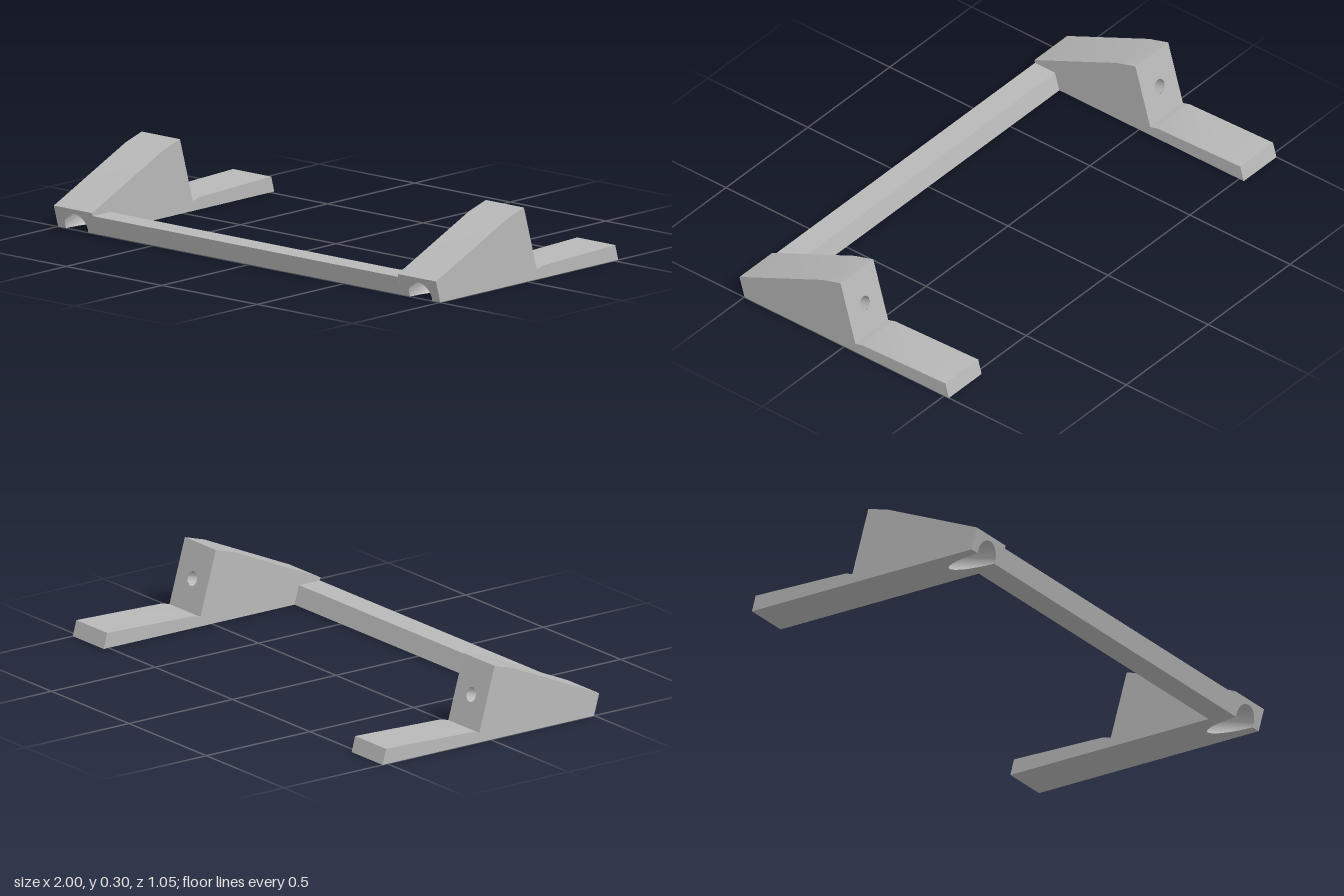
import * as THREE from 'three';
import { toCreasedNormals } from 'three/addons/utils/BufferGeometryUtils.js';

const HALF = 0.1;                 // half width of a foot
const TILT = 0.28;                // lean of the front face and the stop wall
const FRONT = 0.498;              // z of the front bottom edge
const SIN = Math.sin(TILT), COS = Math.cos(TILT);

// Foot outline as [z, y], from the front bottom edge over the top to the rear
const PROFILE = [
  [FRONT, 0], [0.523, 0.087], [0.112, 0.269], [0.018, 0.297],
  [-0.056, 0.039], [-0.092, 0.049], [-0.506, 0.062], [-0.523, 0],
];

// Screw bore, square to the front face and the stop wall
const BORE = { s: 0.012, wide: 0.059, narrow: 0.029, step: 0.4, end: 0.543 };

function borePoint(radius, angle, depth) {
  const s = BORE.s + radius * Math.sin(angle);
  // where the bore breaks through the underside, it starts at y = 0
  const w = Math.max(depth, -s * COS / SIN);
  return [radius * Math.cos(angle), s * COS + w * SIN, FRONT + s * SIN - w * COS];
}

function footGeometry() {
  const positions = [];

  // Flat panel from a 2D outline, placed by a mapping to 3D
  function panel(outline, place, flip = false, hole = null) {
    const shape = new THREE.Shape(outline.map(([u, v]) => new THREE.Vector2(u, v)));
    if (hole) shape.holes.push(new THREE.Path(hole.map(([u, v]) => new THREE.Vector2(u, v))));
    const flat = new THREE.ShapeGeometry(shape);
    const p = flat.attributes.position;
    const index = flat.index.array;
    for (let i = 0; i < index.length; i += 3) {
      const tri = [index[i], index[i + 1], index[i + 2]];
      if (flip) tri.reverse();
      for (const k of tri) positions.push(...place(p.getX(k), p.getY(k)));
    }
  }

  // Panel across the width along one outline edge, with an optional notch or hole
  function strip(p, q, { notch = [], hole = null, flip = false } = {}) {
    const length = Math.hypot(q[0] - p[0], q[1] - p[1]);
    const flatten = ([x, y, z]) => [x, Math.hypot(z - p[0], y - p[1])];
    const place = (x, s) => {
      const t = s / length;
      return [x, p[1] + (q[1] - p[1]) * t, p[0] + (q[0] - p[0]) * t];
    };
    const outline = [[-HALF, 0], ...notch.map(flatten), [HALF, 0], [HALF, length], [-HALF, length]];
    panel(outline, place, flip, hole && hole.map(flatten));
  }

  // Bore angles: the part on the front face, then the part on the underside
  const N = 20;
  const a0 = Math.asin(-BORE.s / BORE.wide);
  const upper = [], lower = [];
  for (let i = 0; i <= N; i++) {
    upper.push(a0 + (Math.PI - 2 * a0) * i / N);
    lower.push(Math.PI - a0 + (Math.PI + 2 * a0) * i / N);
  }
  const angles = [...upper, ...lower.slice(1)];
  const ring = (list, radius, depth) => list.map((a) => borePoint(radius, a, depth));

  // Sides
  panel(PROFILE, (z, y) => [-HALF, y, z]);
  panel(PROFILE, (z, y) => [HALF, y, z], true);

  // Front, top, stop wall, tongue and rear end
  for (let i = 0; i < PROFILE.length - 1; i++) {
    const options = {};
    if (i === 0) options.notch = ring(upper, BORE.wide, 0).reverse();
    if (i === 3) options.hole = ring(angles.slice(0, -1), BORE.narrow, BORE.end);
    strip(PROFILE[i], PROFILE[i + 1], options);
  }

  // Underside
  strip(PROFILE[0], PROFILE[PROFILE.length - 1], { notch: ring(lower, BORE.wide, 0), flip: true });

  // Stepped bore walls
  const rings = [
    ring(angles, BORE.wide, 0), ring(angles, BORE.wide, BORE.step),
    ring(angles, BORE.narrow, BORE.step), ring(angles, BORE.narrow, BORE.end),
  ];
  for (let r = 0; r < 3; r++) {
    for (let i = 0; i < angles.length - 1; i++) {
      const a = rings[r][i], b = rings[r][i + 1], c = rings[r + 1][i + 1], d = rings[r + 1][i];
      positions.push(...a, ...b, ...c, ...a, ...c, ...d);
    }
  }

  const geometry = new THREE.BufferGeometry();
  geometry.setAttribute('position', new THREE.Float32BufferAttribute(positions, 3));
  return toCreasedNormals(geometry, 0.4);
}

export function createModel() {
  const group = new THREE.Group();
  group.name = 'bracketStand';
  const grey = new THREE.MeshStandardMaterial({ color: 0xb8b8b8 });
  grey.name = 'plain grey';

  // Two wedge feet
  const foot = footGeometry();
  for (const [name, x] of [['leftFoot', 0.9], ['rightFoot', -0.9]]) {
    const mesh = new THREE.Mesh(foot, grey);
    mesh.name = name;
    mesh.position.x = x;
    group.add(mesh);
  }

  // Slanted rail joining the feet
  const section = new THREE.Shape([[0.398, 0], [FRONT, 0], [0.52, 0.075], [0.42, 0.075]]
    .map(([z, y]) => new THREE.Vector2(z, y)));
  const railGeometry = new THREE.ExtrudeGeometry(section, { depth: 1.6, bevelEnabled: false });
  railGeometry.rotateY(-Math.PI / 2).translate(0.8, 0, 0);
  const rail = new THREE.Mesh(railGeometry, grey);
  rail.name = 'crossRail';
  group.add(rail);

  return group;
}
